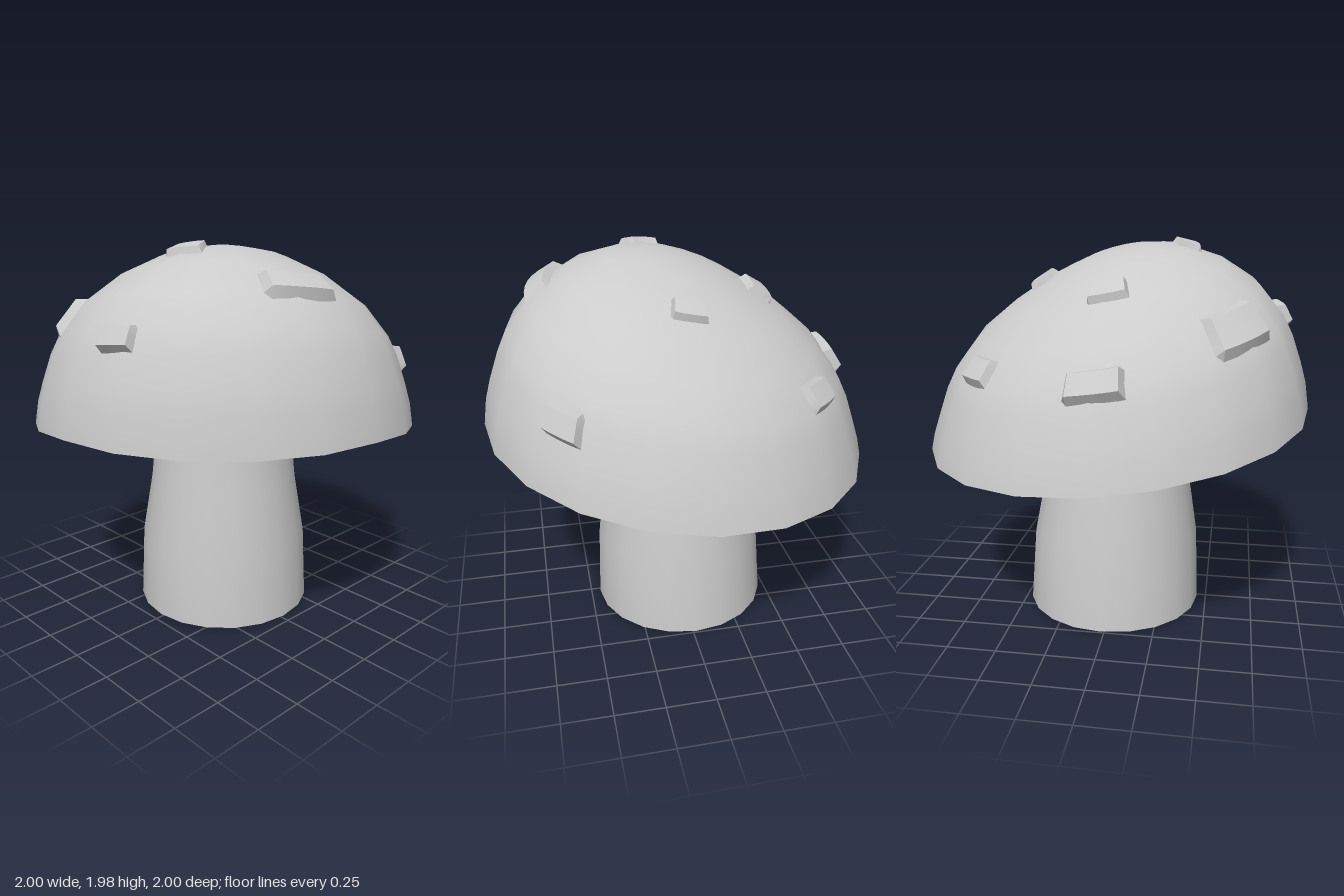
import * as THREE from 'three';
import { mergeVertices, toCreasedNormals } from 'three/addons/utils/BufferGeometryUtils.js';

const SIDES = 20;
const grey = () => new THREE.MeshStandardMaterial({ color: 0xcccccc });

// Cap profile: radius, height, tilt toward +x and +z
const CAP = [
  [1, 1.015, 0.097], [0.98, 1.13, 0.12], [0.95, 1.23, 0.13], [0.9, 1.375, 0.135],
  [0.85, 1.475, 0.14], [0.73, 1.625, 0.157], [0.55, 1.755, 0.18], [0.35, 1.85, 0.21],
  [0.18, 1.9, 0.21], [0, 1.915, 0.21],
];

// Point on the tilted dome at a radius and angle
function domePoint(r, a) {
  let i = 0;
  while (i < CAP.length - 2 && CAP[i + 1][0] > r) i++;
  const [r0, y0, s0] = CAP[i], [r1, y1, s1] = CAP[i + 1];
  const t = (r - r0) / (r1 - r0);
  const x = r * Math.sin(a), z = r * Math.cos(a);
  const y = y0 + (y1 - y0) * t + (s0 + (s1 - s0) * t) * (x + z);
  return new THREE.Vector3(x, Math.max(y, r > 0.995 ? -1 : 0), z);
}

// Revolve a profile, bend it by a rule, keep sharp edges
function lathe(points, bend) {
  let g = new THREE.LatheGeometry(points.map(([x, y]) => new THREE.Vector2(x, y)), SIDES);
  const p = g.attributes.position, v = new THREE.Vector3();
  for (let i = 0; i < p.count; i++) {
    bend(v.fromBufferAttribute(p, i));
    p.setXYZ(i, v.x, v.y, v.z);
  }
  g.deleteAttribute('uv');
  g.deleteAttribute('normal');
  g = mergeVertices(g, 1e-4);
  return toCreasedNormals(g, 0.8);
}

// Raised patch that follows the dome
function spot(x, z, half, width, height) {
  const r = Math.hypot(x, z), a = Math.atan2(x, z), e = 0.03;
  const cols = [-1.15, -0.85, -0.4, 0, 0.4, 0.85, 1.15];
  const rows = [-1.5, -0.9, 0, 0.9, 1.5];
  const pos = [], index = [];
  cols.forEach((c, i) => {
    const b = a + (c * half) / r;
    const p = domePoint(r, b);
    const down = domePoint(r + e, b).sub(domePoint(r - e, b)).normalize();
    const along = domePoint(r, b + e).sub(domePoint(r, b - e)).normalize();
    const n = new THREE.Vector3().crossVectors(down, along).normalize();
    rows.forEach((q, j) => {
      const edge = Math.abs(c) > 1 || Math.abs(q) > 1;
      const v = p.clone().addScaledVector(down, q * width).addScaledVector(n, edge ? -0.035 : height);
      pos.push(v.x, v.y, v.z);
      if (i < cols.length - 1 && j < rows.length - 1) {
        const k = i * rows.length + j, m = k + rows.length;
        index.push(k, k + 1, m + 1, k, m + 1, m);
      }
    });
  });
  const g = new THREE.BufferGeometry();
  g.setAttribute('position', new THREE.Float32BufferAttribute(pos, 3));
  g.setIndex(index);
  return toCreasedNormals(g, 0.7);
}

export function createModel() {
  const group = new THREE.Group();
  const add = (name, geometry) => {
    const mesh = new THREE.Mesh(geometry, grey());
    mesh.name = name;
    group.add(mesh);
  };

  // Stem, leaning slightly
  add('stem', lathe([[0, 0], [0.47, 0], [0.45, 0.4], [0.395, 0.72], [0.365, 1]], (v) => {
    const lean = 0.02 * (1 - v.y);
    v.x -= lean;
    v.z -= lean;
  }));

  // Tilted cap with a shallow conical underside and a levelled high rim
  add('cap', lathe([[0, 0.855], ...CAP], (v) => {
    const r = Math.hypot(v.x, v.z);
    if (r < 1e-3) return;
    v.y = domePoint(r, Math.atan2(v.x, v.z)).y;
    if (r > 0.995) v.y = Math.min(v.y, 1.11);
  }));

  // Spots: x, z, half length, half width, height
  [
    [0.02, -0.4, 0.08, 0.05, 0.035], [0.63, -0.65, 0.1, 0.06, 0.035],
    [-0.57, -0.57, 0.1, 0.06, 0.035], [-0.84, 0.02, 0.13, 0.06, 0.035],
    [-0.43, 0.02, 0.09, 0.06, 0.035], [0.12, 0.35, 0.09, 0.05, 0.025],
    [0.66, 0.18, 0.17, 0.06, 0.035], [-0.48, 0.62, 0.17, 0.09, 0.035],
    [0.22, 0.84, 0.09, 0.05, 0.035],
  ].forEach((s, i) => add(`spot${i + 1}`, spot(...s)));

  return group;
}
